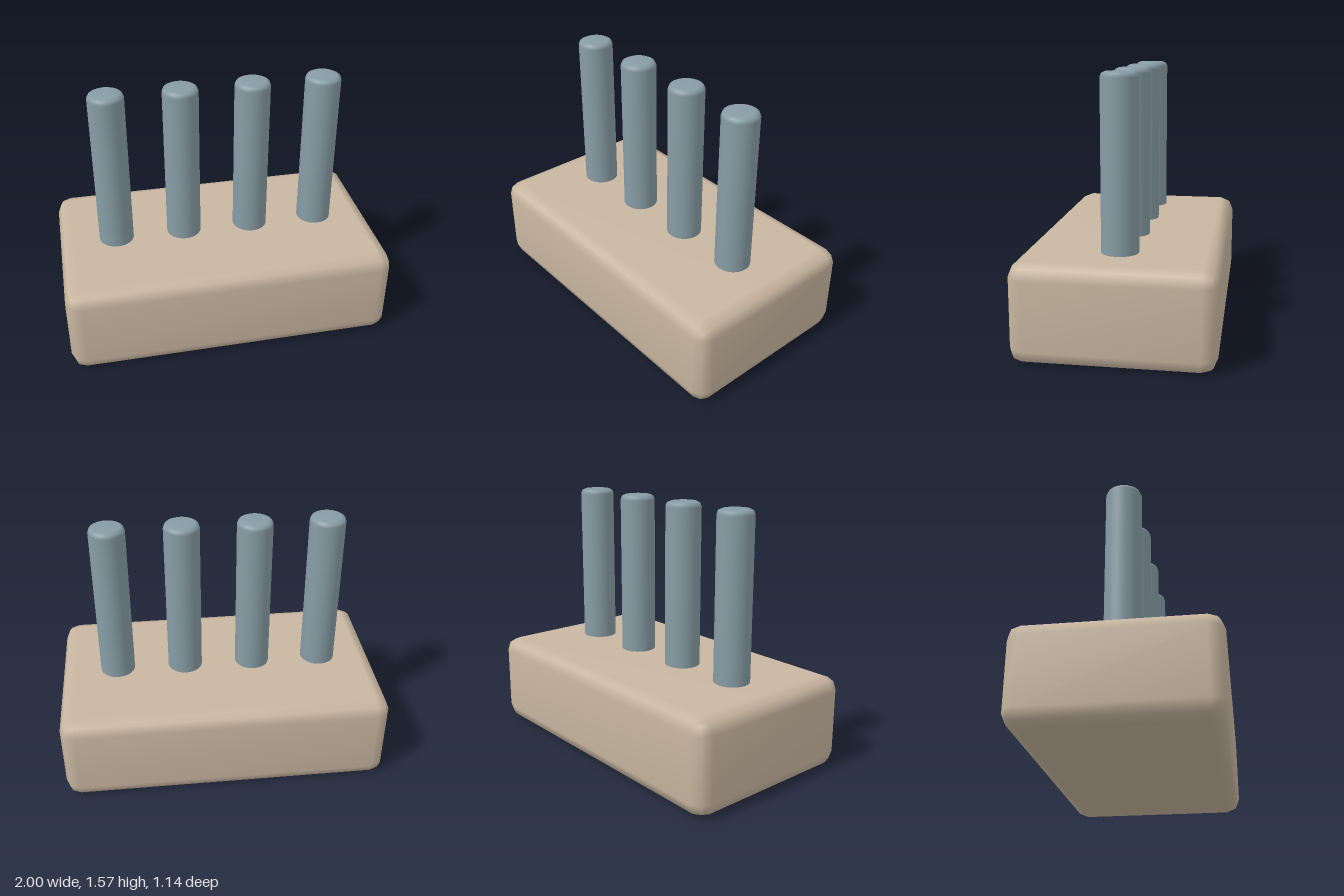
import * as THREE from 'three';
import { RoundedBoxGeometry } from 'three/addons/geometries/RoundedBoxGeometry.js';
import { mergeVertices } from 'three/addons/utils/BufferGeometryUtils.js';

const BASE_HEIGHT = 0.57;
const TOP = 1.57;

// Weld all vertices so shading runs smoothly over the bevels
function smooth(geometry) {
  geometry.deleteAttribute('normal');
  geometry.deleteAttribute('uv');
  const welded = mergeVertices(geometry, 1e-4);
  welded.computeVertexNormals();
  return welded;
}

export function createModel() {
  const group = new THREE.Group();
  const sand = new THREE.MeshStandardMaterial({ color: 0xc8b6a0 });
  sand.name = 'sand';
  const slate = new THREE.MeshStandardMaterial({ color: 0x879ca5 });
  slate.name = 'slate';

  // Bevelled block
  const base = new THREE.Mesh(smooth(new RoundedBoxGeometry(2, BASE_HEIGHT, 1.14, 1, 0.087)), sand);
  base.name = 'base';
  base.position.y = BASE_HEIGHT / 2;
  group.add(base);

  // Four round pegs with softened top rims, set slightly into the block
  const r = 0.107;
  const profile = [
    [r, BASE_HEIGHT - 0.03], [r, TOP - 0.03], [r - 0.008, TOP - 0.01],
    [r - 0.028, TOP], [0, TOP],
  ].map(([x, y]) => new THREE.Vector2(x, y));
  const pegGeometry = new THREE.LatheGeometry(profile, 32);
  for (let i = 0; i < 4; i++) {
    const peg = new THREE.Mesh(pegGeometry, slate);
    peg.name = `peg${i + 1}`;
    peg.position.x = (i - 1.5) * 0.43;
    group.add(peg);
  }
  return group;
}
